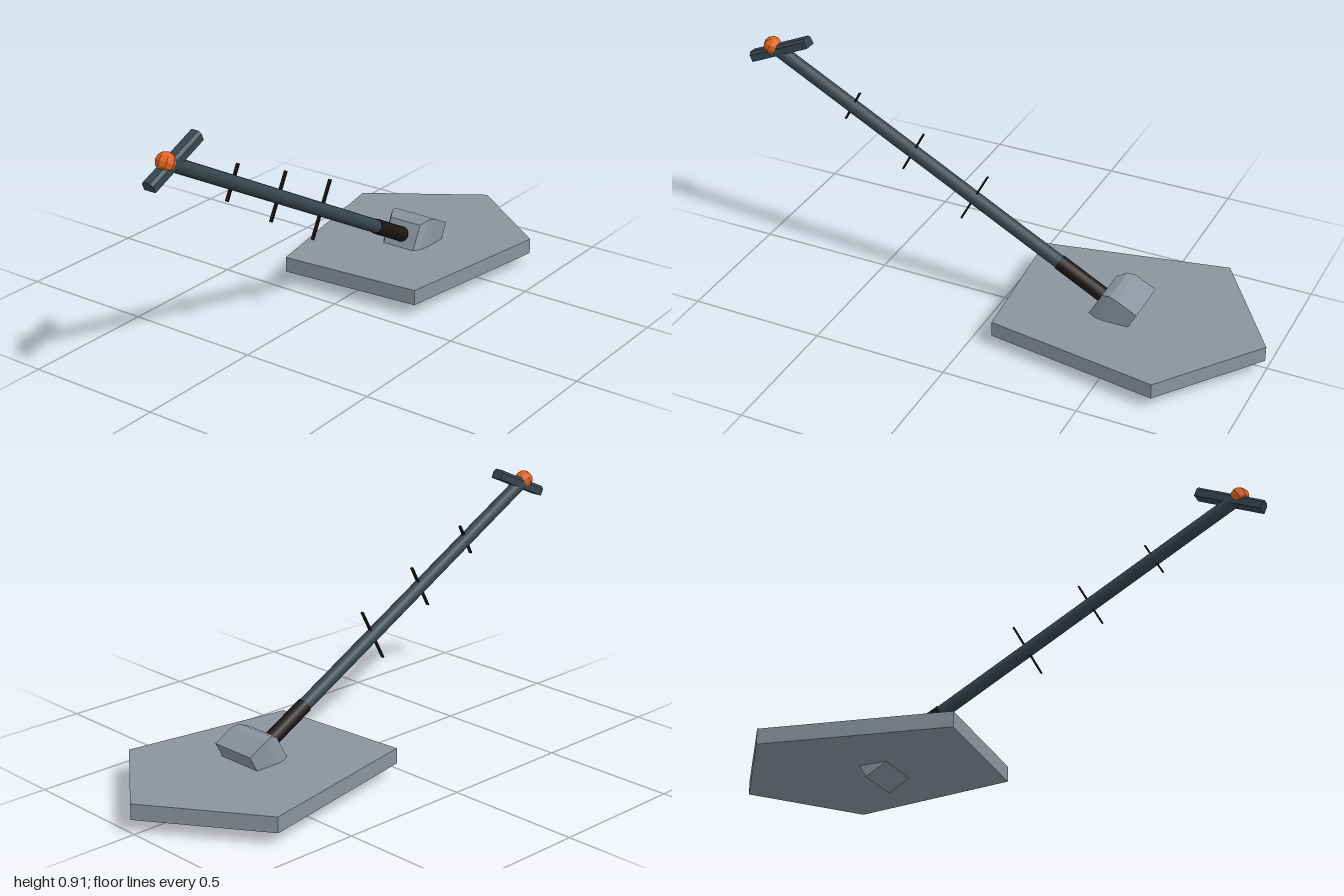
import * as THREE from 'three';
import { ConvexGeometry } from 'three/addons/geometries/ConvexGeometry.js';

const mat = (color, flatShading = true) => new THREE.MeshStandardMaterial({ color, flatShading });
const steel = mat(0x8a949e), slate = mat(0x36454f), slateSmooth = mat(0x36454f, false);
const black = mat(0x1c1613), blackSmooth = mat(0x1c1613, false), orange = mat(0xe0621a);

function add(parent, name, geometry, material, x = 0, y = 0, z = 0) {
  const mesh = new THREE.Mesh(geometry, material);
  mesh.name = name;
  mesh.position.set(x, y, z);
  parent.add(mesh);
  return mesh;
}

// Cylinder lying along local x between two distances
function rod(parent, name, from, to, radius, material) {
  const g = new THREE.CylinderGeometry(radius, radius, to - from, 16).rotateZ(Math.PI / 2);
  return add(parent, name, g, material, (from + to) / 2);
}

export function createModel() {
  const model = new THREE.Group();
  model.name = 'leaningStaff';

  // Irregular five-sided slab, outline in x and z
  const outline = [[0.085, 0.29], [0.72, 0.385], [0.997, 0.02], [0.72, -0.39], [0.042, -0.253]];
  const slab = new THREE.Shape(outline.map(([x, z]) => new THREE.Vector2(x, -z)));
  const slabGeometry = new THREE.ExtrudeGeometry(slab, { depth: 0.057, bevelEnabled: false });
  add(model, 'baseSlab', slabGeometry.rotateX(-Math.PI / 2), steel, 0, 0.048, 0);

  // Staff frame: local x runs from the top joint down to the foot
  const staff = new THREE.Group();
  staff.name = 'staff';
  staff.position.set(-0.91, 0.845, 0.024);
  staff.rotation.z = -Math.atan(0.536);
  model.add(staff);

  rod(staff, 'shaft', 0, 1.35, 0.025, slateSmooth);
  rod(staff, 'grip', 1.285, 1.52, 0.028, blackSmooth);
  add(staff, 'joint', new THREE.SphereGeometry(0.034, 8, 6), orange);

  // Thin cross pins, longer toward the foot
  [[0.363, 0.13], [0.635, 0.18], [0.908, 0.22]].forEach(([u, length]) =>
    add(staff, 'crossPin', new THREE.BoxGeometry(0.006, length, 0.012), black, u));

  // Foot block: square at the far face, narrowing toward the grip
  const stations = [[0, 0.09, 0.09], [-0.085, 0.089, 0.09], [-0.114, 0.08, 0.083], [-0.138, 0.05, 0.066]];
  const corners = [];
  for (const [a, h, w] of stations)
    for (const sy of [-1, 1])
      for (const sz of [-1, 1]) corners.push(new THREE.Vector3(a, sy * h, sz * w));
  add(staff, 'footBlock', new ConvexGeometry(corners), steel, 1.614);

  // Crossbar at the top: flat underside, chamfered upper edges
  const profile = new THREE.Shape([
    [-0.023, -0.018], [0.023, -0.018], [0.023, 0.008], [0.014, 0.018], [-0.014, 0.018], [-0.023, 0.008],
  ].map(([x, y]) => new THREE.Vector2(x, y)));
  const bar = new THREE.ExtrudeGeometry(profile, { depth: 0.255, bevelEnabled: false });
  bar.translate(0, 0, -0.1275).rotateY(Math.PI / 2);
  add(model, 'crossbar', bar, slate, -0.877, 0.84, 0.024).rotation.z = 0.42;

  return model;
}
